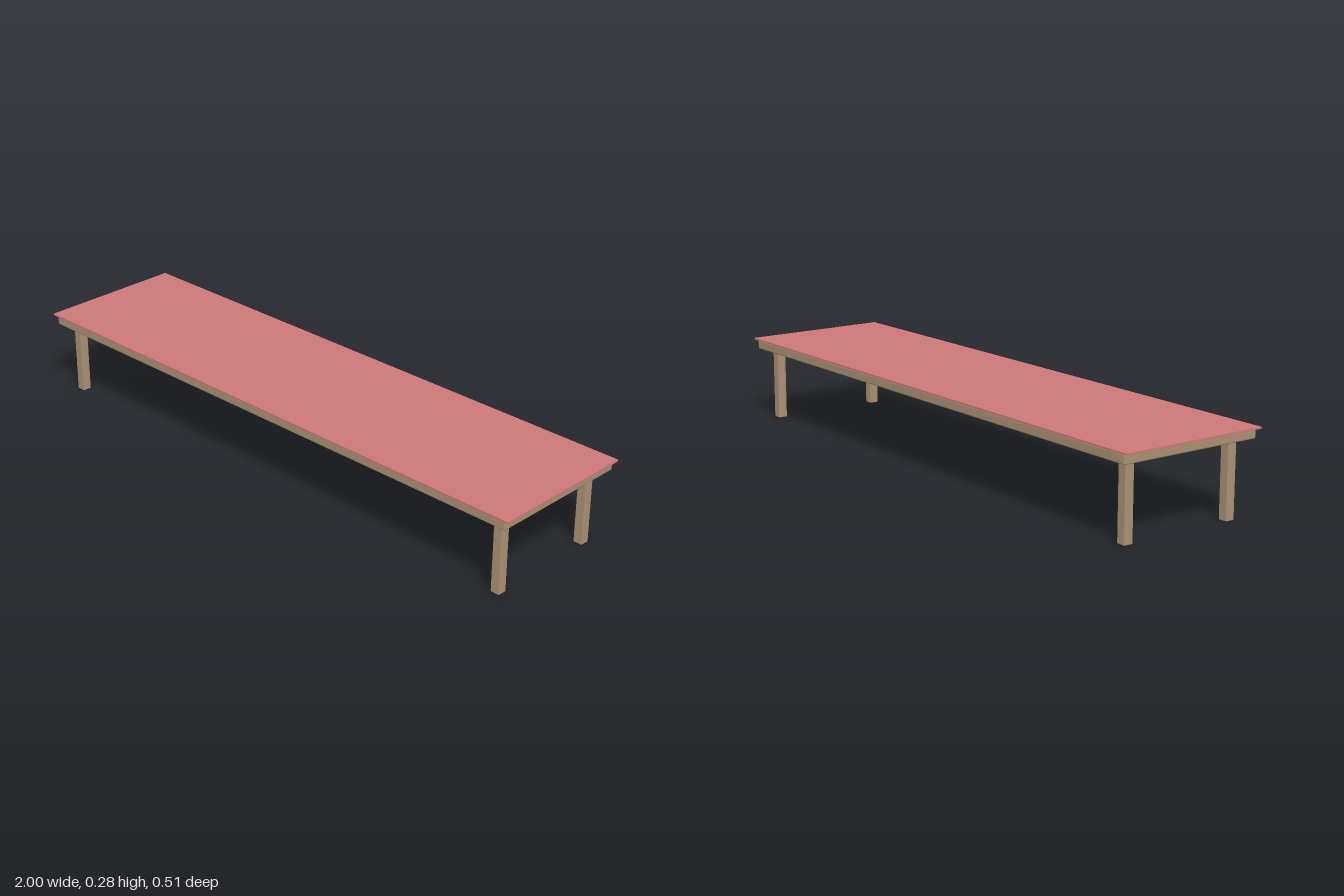
import * as THREE from 'three';
import { RoundedBoxGeometry } from 'three/addons/geometries/RoundedBoxGeometry.js';

export function createModel() {
  const group = new THREE.Group();
  const wood = new THREE.MeshStandardMaterial({ color: 0xab9274 });
  const red = new THREE.MeshStandardMaterial({ color: 0xcd7878 });

  const add = (name, geometry, material, x, y, z) => {
    const mesh = new THREE.Mesh(geometry, material);
    mesh.name = name;
    mesh.position.set(x, y, z);
    group.add(mesh);
  };

  // Thin red cover, slightly overhanging the wooden slab
  const top = 0.281, coverBottom = 0.275, slabBottom = 0.244;
  add('cover', new THREE.BoxGeometry(2, top - coverBottom, 0.506), red, 0, (top + coverBottom) / 2, 0);

  // Wooden slab with softened edges
  add('tabletop', new RoundedBoxGeometry(1.972, coverBottom - slabBottom, 0.494, 2, 0.005),
    wood, 0, (coverBottom + slabBottom) / 2, 0);

  // Four square legs, one near each corner
  const legGeometry = new RoundedBoxGeometry(0.031, slabBottom, 0.031, 2, 0.002);
  for (const [side, x] of [['Left', 0.932], ['Right', -0.932]]) {
    for (const [end, z] of [['front', 0.193], ['back', -0.193]]) {
      add(`${end}${side}Leg`, legGeometry, wood, x, slabBottom / 2, z);
    }
  }
  return group;
}
